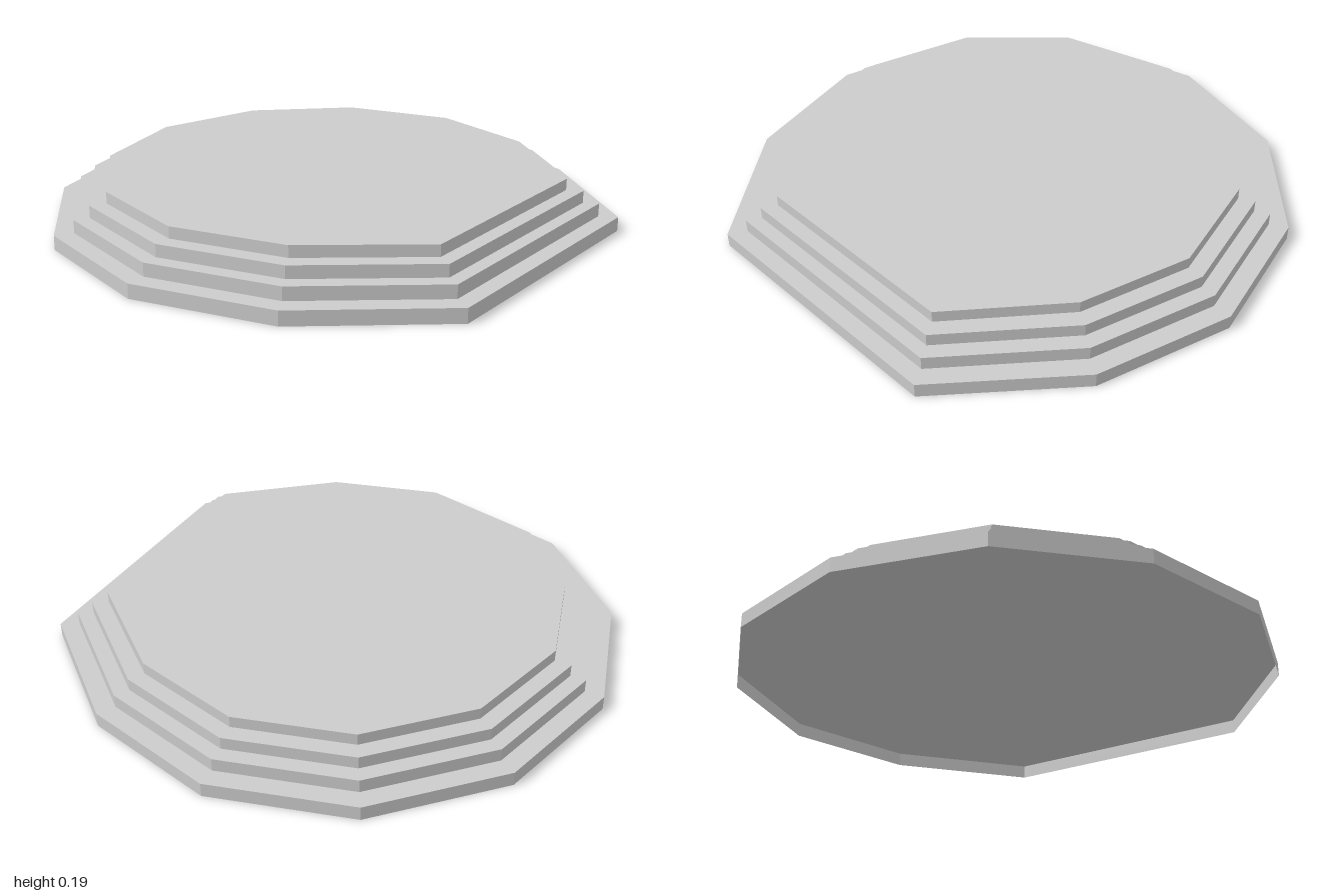
import * as THREE from 'three';

const CENTRE_Z = 0.034;
const FRONT_SHIFT = 0.066; // the straight front edge sits slightly forward

// Eleven-sided outline: a twelve-sided ring with one corner dropped at the front
function outline(radius) {
  const points = [];
  for (let i = -5; i <= 5; i++) {
    const a = (i * Math.PI) / 6;
    const shift = Math.abs(i) === 5 ? FRONT_SHIFT : 0;
    points.push([radius * Math.sin(a), CENTRE_Z - radius * Math.cos(a) + shift]);
  }
  return points;
}

// One step: outer wall and top, open underneath
function tierGeometry(radius, y0, y1) {
  const ring = outline(radius);
  const positions = [];
  ring.forEach(([ax, az], i) => {
    const [bx, bz] = ring[(i + 1) % ring.length];
    positions.push(
      bx, y0, bz, ax, y0, az, ax, y1, az,
      bx, y0, bz, ax, y1, az, bx, y1, bz,
      0, y1, CENTRE_Z, bx, y1, bz, ax, y1, az
    );
  });
  const geometry = new THREE.BufferGeometry();
  geometry.setAttribute('position', new THREE.Float32BufferAttribute(positions, 3));
  geometry.computeVertexNormals();
  return geometry;
}

export function createModel() {
  const group = new THREE.Group();
  group.name = 'steppedPlatform';
  const stone = new THREE.MeshStandardMaterial({ color: 0xcccccc, side: THREE.DoubleSide });
  stone.name = 'light grey stone';

  // Steps from the ground up: name, radius, bottom, top
  const tiers = [
    ['baseStep', 1, 0, 0.052],
    ['secondStep', 0.93, 0.052, 0.1],
    ['thirdStep', 0.873, 0.1, 0.145],
    ['topStep', 0.812, 0.145, 0.187],
  ];
  for (const [name, radius, y0, y1] of tiers) {
    const mesh = new THREE.Mesh(tierGeometry(radius, y0, y1), stone);
    mesh.name = name;
    group.add(mesh);
  }
  return group;
}
